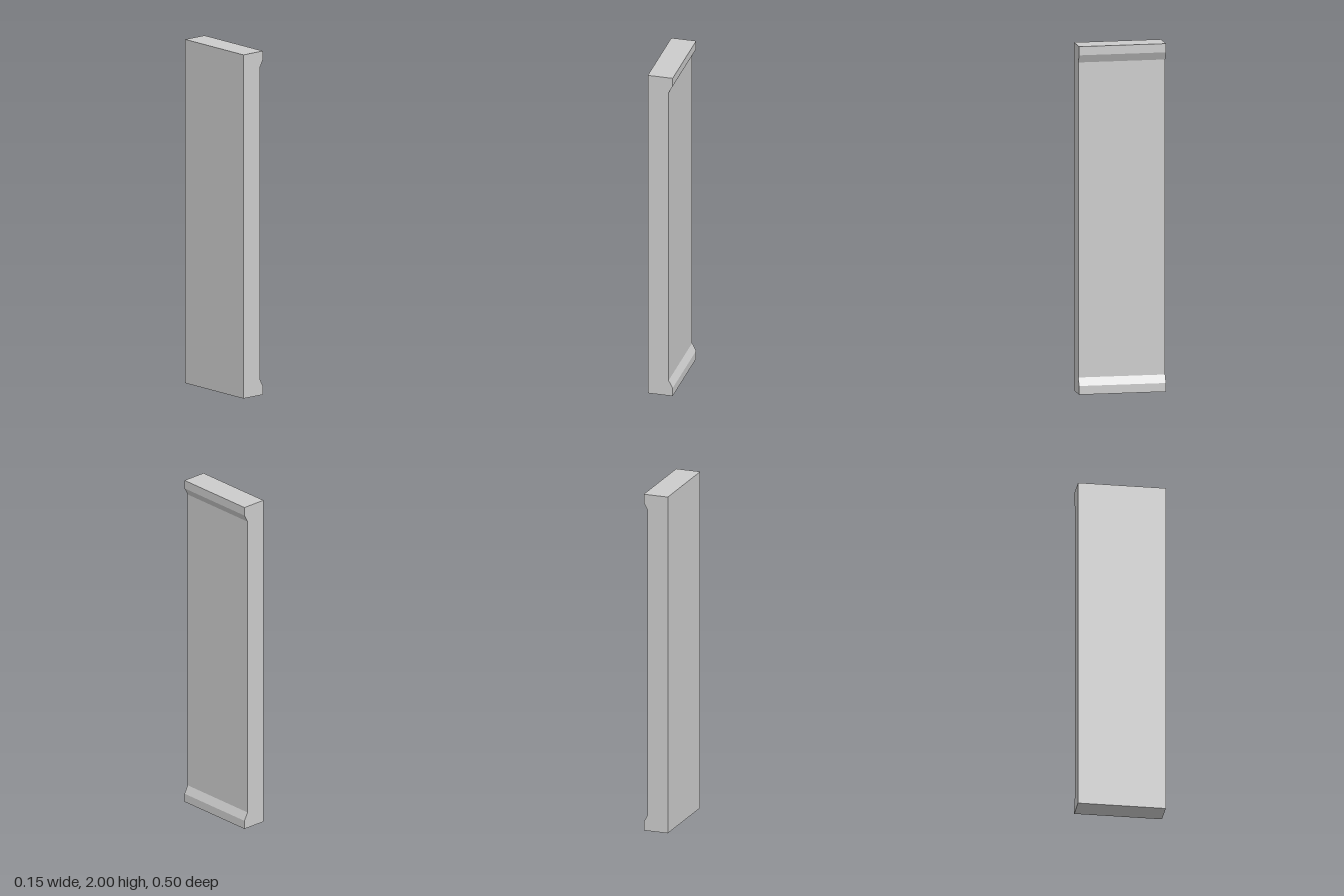
import * as THREE from 'three';

export function createModel() {
  const group = new THREE.Group();
  group.name = 'wallPanel';

  const height = 2, depth = 0.502;
  const back = -0.073, lip = 0.073, face = 0.049;
  const lipHeight = 0.05, bevelEnd = 0.095;

  // Side profile: flat back, recessed face, bevelled lips at both ends
  const lower = [[lip, 0], [lip, lipHeight], [face, bevelEnd]];
  const upper = lower.map(([x, y]) => [x, height - y]).reverse();
  const outline = [[back, 0], ...lower, ...upper, [back, height]];
  const profile = new THREE.Shape(outline.map(([x, y]) => new THREE.Vector2(x, y)));

  const geometry = new THREE.ExtrudeGeometry(profile, { depth, bevelEnabled: false });
  geometry.translate(0, 0, -depth / 2);

  const panel = new THREE.Mesh(
    geometry,
    new THREE.MeshStandardMaterial({ color: 0xcccccc, flatShading: true })
  );
  panel.name = 'panel';
  group.add(panel);
  return group;
}
